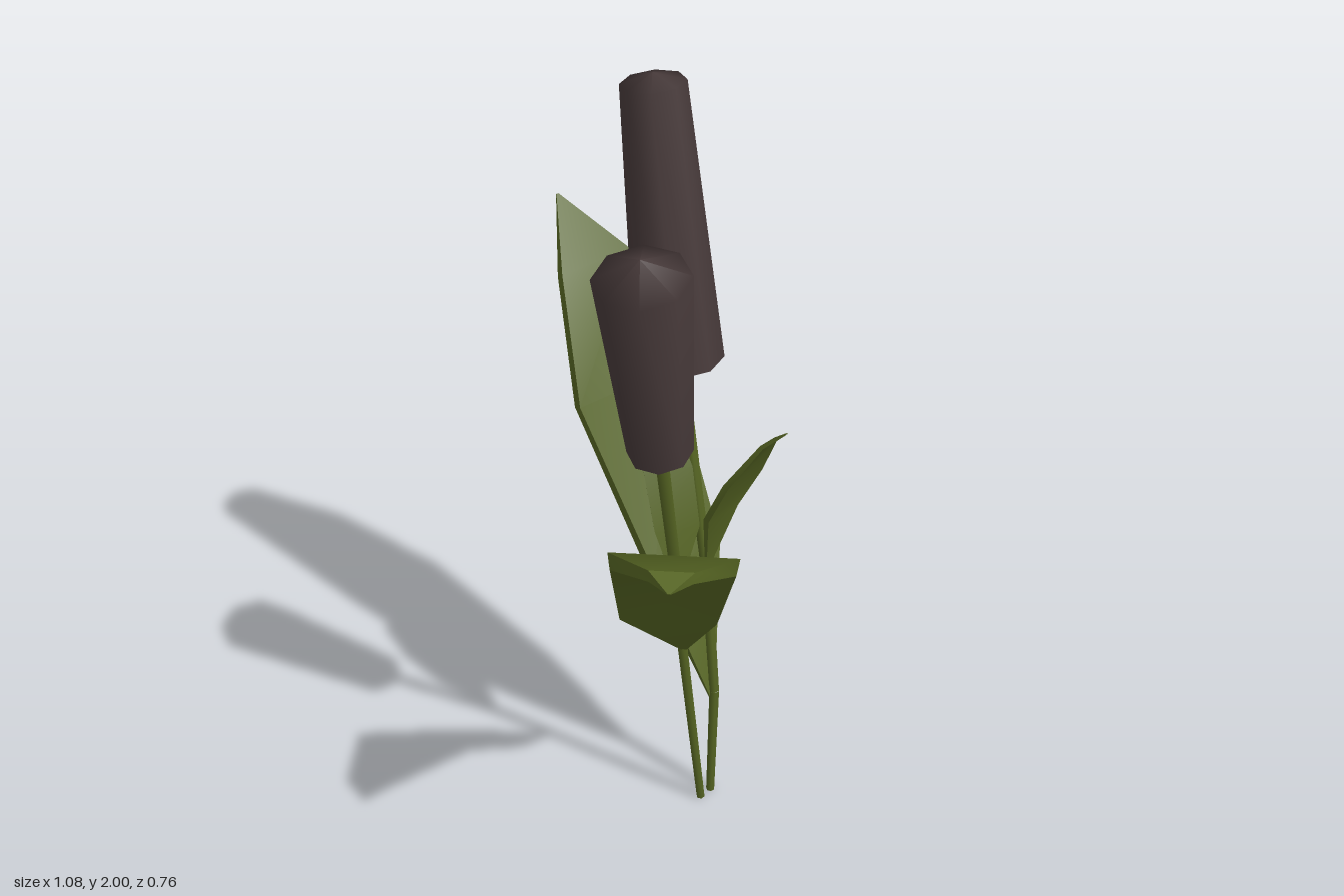
import * as THREE from 'three';
import { toCreasedNormals } from 'three/addons/utils/BufferGeometryUtils.js';

const V = (p) => new THREE.Vector3(p[0], p[1], p[2]);

// Thick leaf lofted through rows of [x, y, z, half width, thickness]
function leafGeometry(rows) {
  const first = V(rows[0]), tip = V(rows[rows.length - 1]);
  const side = new THREE.Vector3(first.z - tip.z, 0, tip.x - first.x).normalize();
  const positions = [], index = [];
  rows.forEach((row, i) => {
    const next = V(rows[Math.min(i + 1, rows.length - 1)]);
    const tangent = next.sub(V(rows[Math.max(i - 1, 0)])).normalize();
    const normal = side.clone().cross(tangent).normalize();
    // Upper pair, then the slightly narrower lower pair
    for (const [s, n] of [[-1, 0], [1, 0], [0.95, -1], [-0.95, -1]]) {
      const p = V(row).addScaledVector(side, s * row[3]).addScaledVector(normal, n * row[4]);
      positions.push(p.x, p.y, p.z);
    }
    if (i === 0) return;
    for (let j = 0; j < 4; j++) {
      const a = (i - 1) * 4 + j, b = (i - 1) * 4 + (j + 1) % 4;
      index.push(a, b, b + 4, a, b + 4, a + 4);
    }
  });
  const end = (rows.length - 1) * 4;
  index.push(0, 2, 1, 0, 3, 2, end, end + 1, end + 2, end, end + 2, end + 3);
  const geometry = new THREE.BufferGeometry();
  geometry.setAttribute('position', new THREE.Float32BufferAttribute(positions, 3));
  geometry.setIndex(index);
  return toCreasedNormals(geometry, 0.6);
}

// Stand an object that points along +y at one point, aimed at another
function aim(object, from, to) {
  object.position.copy(from);
  object.quaternion.setFromUnitVectors(new THREE.Vector3(0, 1, 0), to.clone().sub(from).normalize());
  return object;
}

function lathe(profile, sides, material, name) {
  const points = profile.map(([r, y]) => new THREE.Vector2(r, y));
  const mesh = new THREE.Mesh(new THREE.LatheGeometry(points, sides), material);
  mesh.name = name;
  return mesh;
}

export function createModel() {
  const green = new THREE.MeshStandardMaterial({ color: 0x566523 });
  green.name = 'leaf green';
  const brown = new THREE.MeshStandardMaterial({ color: 0x463939 });
  brown.name = 'seed head brown';
  const model = new THREE.Group();
  model.name = 'reedPlant';

  // Stems: tapered segments through a few points, thicker towards the top
  const stems = {
    tallStem: [[0.08, 0, -0.213], [0.085, 0.35, -0.213], [0.043, 0.74, -0.213], [-0.066, 1.3, -0.215]],
    shortStem: [[0.083, 0, -0.175], [0.09, 0.57, -0.092], [0.102, 0.79, -0.06], [0.147, 1.26, 0.042]],
  };
  for (const [name, path] of Object.entries(stems)) {
    const stem = new THREE.Group();
    stem.name = name;
    for (let i = 0; i < path.length - 1; i++) {
      const a = V(path[i]), b = V(path[i + 1]);
      const r = 0.011 + i * 0.002;
      stem.add(aim(lathe([[0, 0], [r, 0], [r + 0.002, a.distanceTo(b)]], 6, green, 'stemSegment'), a, b));
    }
    model.add(stem);
  }

  // Seed heads: brown body with a domed top and a green base
  const heads = [
    { name: 'tallHead', from: [-0.065, 1.292, -0.215], to: [-0.167, 2.0, -0.215], low: 0.107, high: 0.077, dome: 0.022, drop: 0.012 },
    { name: 'shortHead', from: [0.147, 1.257, 0.043], to: [0.18, 1.81, 0.137], low: 0.077, high: 0.111, dome: 0.05, drop: 0.022 },
  ];
  for (const h of heads) {
    const from = V(h.from), to = V(h.to), length = from.distanceTo(to);
    const head = new THREE.Group();
    head.name = h.name;
    head.add(
      lathe([[h.low, 0], [h.high, length - h.dome], [0, length]], 8, brown, 'headBody'),
      lathe([[0, -h.drop], [h.low, 0]], 8, green, 'headBase'),
    );
    model.add(aim(head, from, to));
  }

  // Leaves: two large, two small
  const leaves = {
    largeRightLeaf: [[0.083, 0.33, -0.21, 0.008, 0.008], [-0.025, 0.72, -0.215, 0.107, 0.04],
      [-0.272, 1.1, -0.233, 0.147, 0.035], [-0.39, 1.405, -0.24, 0.105, 0.03], [-0.54, 1.53, -0.246, 0.003, 0.003]],
    largeLeftLeaf: [[0.095, 0.57, -0.092, 0.008, 0.008], [0.17, 0.81, 0.03, 0.122, 0.04],
      [0.305, 1.1, 0.145, 0.15, 0.04], [0.5, 1.268, 0.335, 0.05, 0.025], [0.54, 1.255, 0.38, 0.003, 0.003]],
    smallRightLeaf: [[0.1, 0.78, -0.065, 0.008, 0.006], [0.075, 0.93, -0.083, 0.056, 0.015],
      [0.025, 1.07, -0.098, 0.06, 0.015], [-0.025, 1.18, -0.117, 0.035, 0.01], [-0.055, 1.24, -0.145, 0.003, 0.003]],
    smallLeftLeaf: [[0.047, 0.74, -0.213, 0.008, 0.006], [0.077, 0.92, -0.22, 0.055, 0.015],
      [0.145, 1.06, -0.224, 0.064, 0.015], [0.228, 1.2, -0.222, 0.025, 0.01], [0.285, 1.252, -0.225, 0.003, 0.003]],
  };
  for (const [name, rows] of Object.entries(leaves)) {
    const leaf = new THREE.Mesh(leafGeometry(rows), green);
    leaf.name = name;
    model.add(leaf);
  }
  return model;
}
